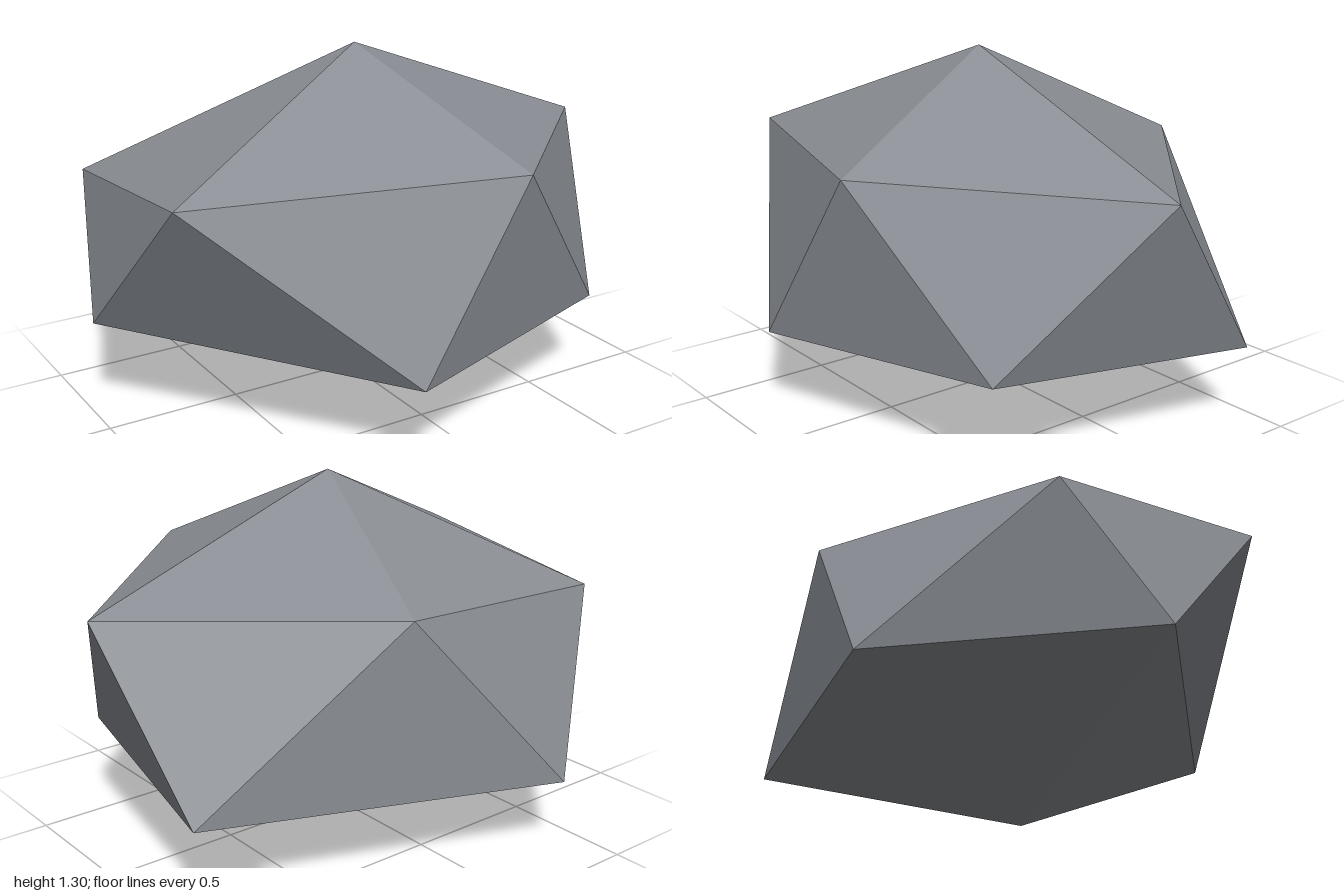
import * as THREE from 'three';

export function createModel() {
  const group = new THREE.Group();
  group.name = 'rock';
  const stone = new THREE.MeshStandardMaterial({ color: 0x8a8e94, flatShading: true });
  stone.name = 'stoneGrey';

  // Irregular twenty-sided boulder: two poles and two staggered rings
  const top = [-0.02, 1.3, 0.07];
  const bottom = [-0.01, 0, 0.14];
  const upper = [
    [-0.92, 0.93, 0.45], [0.21, 0.96, 0.81], [1.0, 0.92, 0.06],
    [0.2, 0.94, -0.66], [-0.87, 0.825, -0.46],
  ];
  const lower = [
    [-0.24, 0.31, 0.86], [0.71, 0.34, 0.58], [0.91, 0.3, -0.4],
    [-0.35, 0.28, -0.86], [-1.0, 0.37, -0.1],
  ];

  // Cap, zigzag belt and base, one slice at a time
  const positions = [];
  const face = (a, b, c) => positions.push(...a, ...b, ...c);
  for (let i = 0; i < 5; i++) {
    const n = (i + 1) % 5;
    face(top, upper[i], upper[n]);
    face(upper[i], lower[i], upper[n]);
    face(upper[n], lower[i], lower[n]);
    face(bottom, lower[n], lower[i]);
  }

  const geometry = new THREE.BufferGeometry();
  geometry.setAttribute('position', new THREE.Float32BufferAttribute(positions, 3));
  geometry.computeVertexNormals();

  const boulder = new THREE.Mesh(geometry, stone);
  boulder.name = 'boulder';
  group.add(boulder);
  return group;
}
